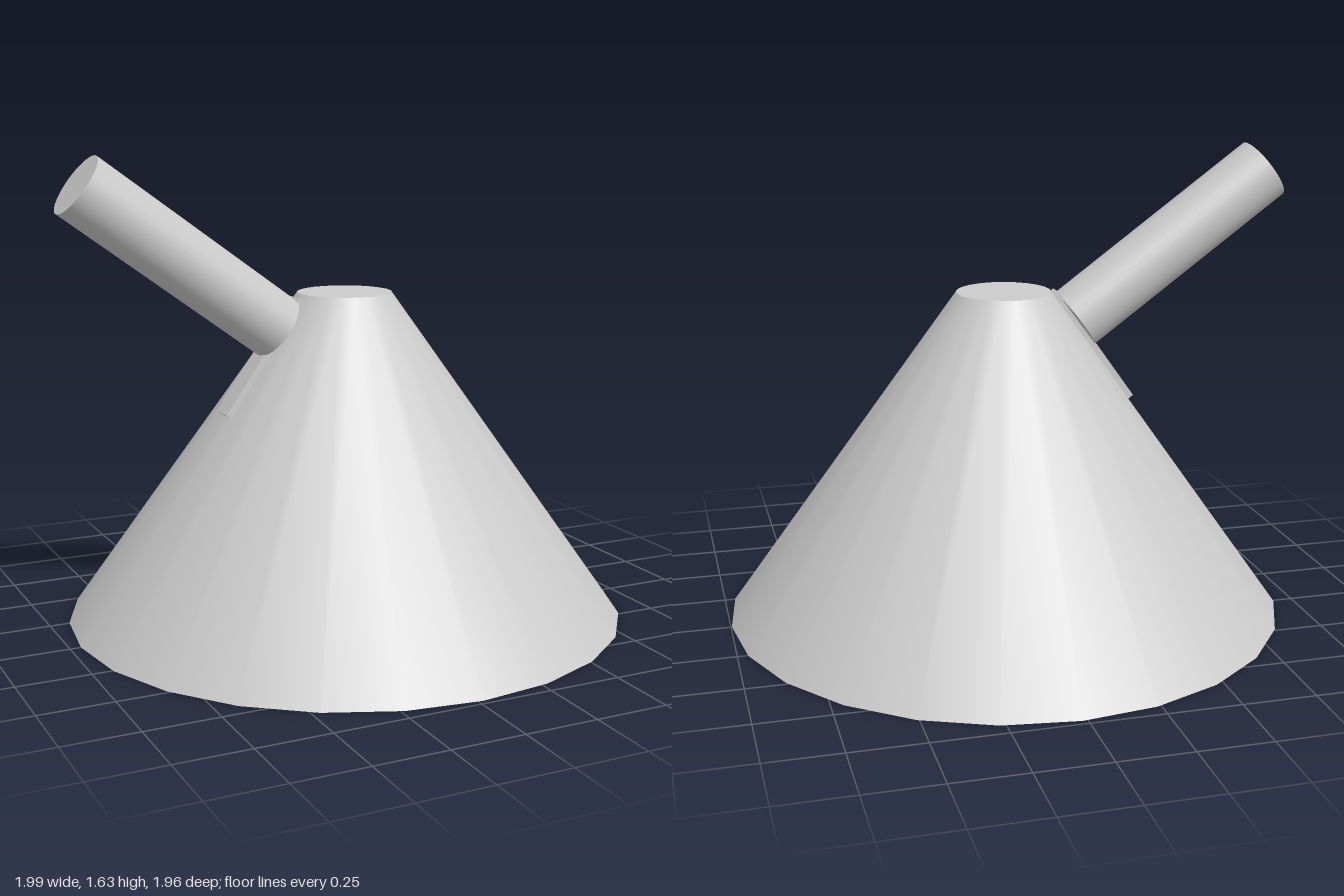
import * as THREE from 'three';

export function createModel() {
  const model = new THREE.Group();
  const material = new THREE.MeshStandardMaterial({ color: 0xcccccc });
  const add = (name, geometry, x, y, tilt = 0) => {
    const mesh = new THREE.Mesh(geometry, material);
    mesh.name = name;
    mesh.position.set(x, y, 0);
    mesh.rotation.z = tilt;
    model.add(mesh);
    return mesh;
  };

  // truncated cone standing on the ground
  const bottomR = 0.98, topR = 0.165, height = 1.145, centreX = 0.017;
  add('coneBody', new THREE.CylinderGeometry(topR, bottomR, height, 24), centreX, height / 2);

  // round handle, square to the cone's right flank
  const outer = new THREE.Vector2(-0.93, 1.54), inner = new THREE.Vector2(-0.24, 1.035);
  const axis = outer.clone().sub(inner);
  const middle = outer.clone().add(inner).multiplyScalar(0.5);
  add('handle', new THREE.CylinderGeometry(0.114, 0.114, axis.length(), 32),
    middle.x, middle.y, axis.angle() - Math.PI / 2);

  // thin mounting strip lying on the flank under the handle
  const flankTilt = -Math.atan2(bottomR - topR, height);
  add('mountingStrip', new THREE.BoxGeometry(0.022, 0.47, 0.09), -0.302, 0.939, flankTilt);

  return model;
}
